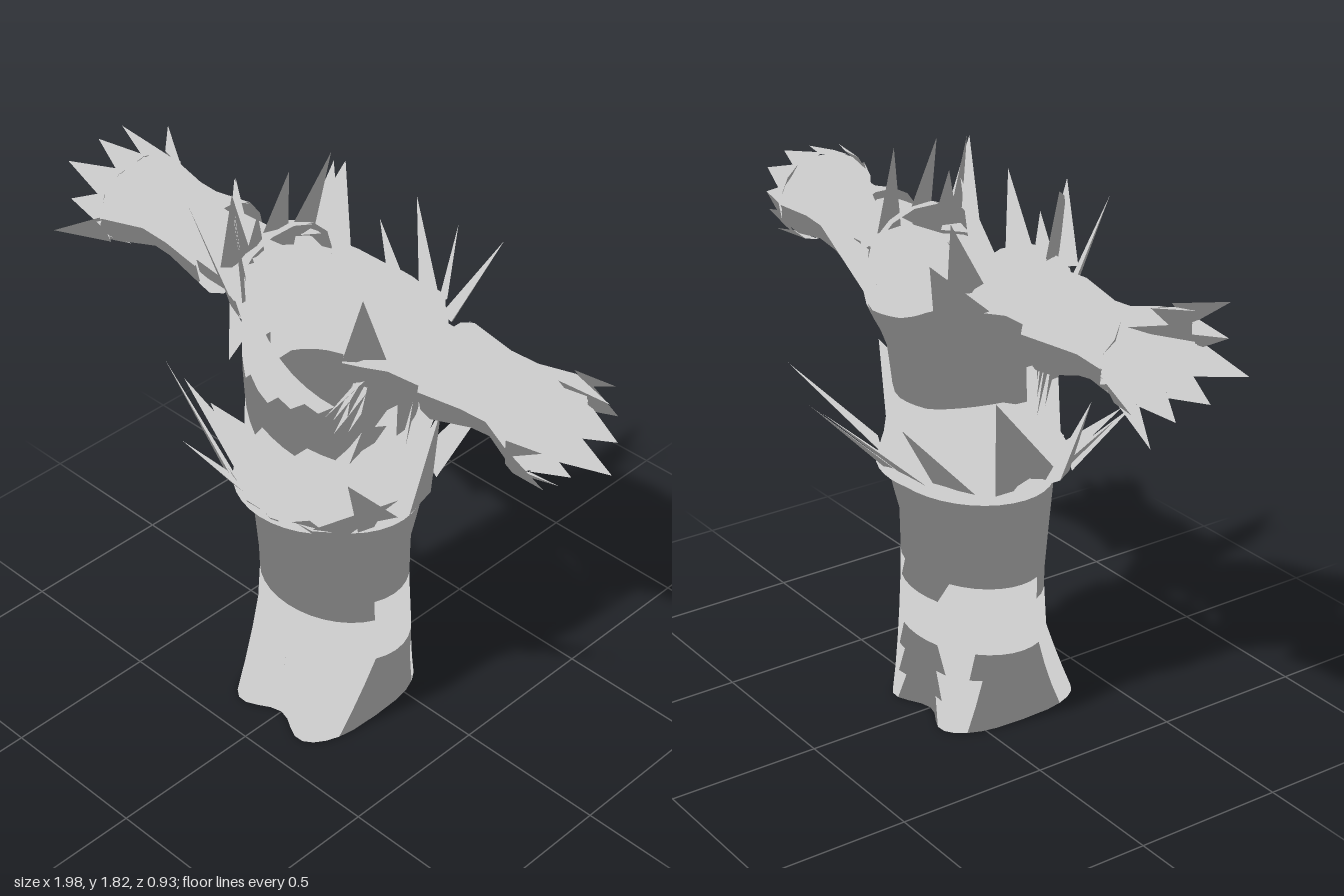
import * as THREE from 'three';

const material = new THREE.MeshStandardMaterial({ color: 0xcccccc, side: THREE.DoubleSide });

// Mesh from flat positions; normals all point up for an even, flat tone.
function mesh(name, pos, index) {
  const g = new THREE.BufferGeometry();
  g.setAttribute('position', new THREE.Float32BufferAttribute(pos, 3));
  g.setAttribute('normal', new THREE.Float32BufferAttribute(pos.map((_, i) => (i % 3 === 1 ? 1 : 0)), 3));
  g.setIndex(index);
  const m = new THREE.Mesh(g, material);
  m.name = name;
  return m;
}

// Thin cloth through rows of points, with an outer layer and a lining facing
// the other way; at(row, column) returns [x, y, z].
function sheet(name, rows, cols, at) {
  const pos = [], index = [];
  for (let r = 0; r <= rows; r++) for (let c = 0; c <= cols; c++) pos.push(...at(r, c));
  for (let r = 0; r < rows; r++) for (let c = 0; c < cols; c++) {
    const a = r * (cols + 1) + c, b = a + cols + 1;
    index.push(a, b, a + 1, a + 1, b, b + 1);
  }
  const g = new THREE.BufferGeometry();
  g.setAttribute('position', new THREE.Float32BufferAttribute(pos, 3));
  g.setIndex(index);
  g.computeVertexNormals();
  const n = g.attributes.normal.array, half = 0.002, count = pos.length / 3;
  const layers = [...pos.map((v, i) => v + half * n[i]), ...pos.map((v, i) => v - half * n[i])];
  return mesh(name, layers, [...index, ...[...index].reverse().map(i => i + count)]);
}

// Piecewise linear lookup in rows of [key, v0, v1, ...].
function lookup(table, key) {
  let i = 1;
  while (i < table.length - 1 && key > table[i][0]) i++;
  const a = table[i - 1], b = table[i];
  const t = THREE.MathUtils.clamp((key - a[0]) / (b[0] - a[0]), 0, 1);
  return a.slice(1).map((v, k) => v + (b[k + 1] - v) * t);
}

// Point on an oval body section: half width, front z, back z.
function oval(table, y, angle) {
  const [rx, zf, zb] = lookup(table, y);
  return [rx * Math.cos(angle), y, (zf + zb) / 2 + (zf - zb) / 2 * Math.sin(angle)];
}

// Thin three-sided fur tuft: base centre, tip, base direction and width.
function tuft(name, base, tip, along, width) {
  const b = new THREE.Vector3(...base), t = new THREE.Vector3(...tip);
  const u = new THREE.Vector3(...along).normalize().multiplyScalar(width / 2);
  const ridge = t.clone().sub(b).cross(u).normalize().multiplyScalar(width * 0.12).add(b);
  const pts = [b.clone().sub(u), b.clone().add(u), ridge, t];
  return mesh(name, pts.flatMap(p => p.toArray()), [0, 1, 3, 1, 2, 3, 2, 0, 3, 0, 2, 1]);
}

const trouserShape = [
  [0, 0.225, 0.39, -0.11], [0.28, 0.27, 0.31, -0.11], [0.46, 0.258, 0.30, -0.105],
  [0.65, 0.262, 0.32, -0.11], [0.8, 0.285, 0.33, -0.15], [0.88, 0.28, 0.33, -0.15]];
const jacketShape = [
  [0.84, 0.297, 0.41, -0.2], [0.9, 0.285, 0.36, -0.17], [1.1, 0.265, 0.35, -0.14],
  [1.25, 0.265, 0.365, -0.165], [1.38, 0.28, 0.36, -0.24], [1.48, 0.305, 0.34, -0.24], [1.78, 0.36, 0.33, -0.25]];
const frontNeck = [[-0.26, 1.52], [-0.24, 1.78], [-0.07, 1.49], [0.07, 1.38], [0.2, 1.27], [0.24, 1.45], [0.26, 1.34]];
const backNeck = [[-0.27, 1.5], [-0.1, 1.4], [0.07, 1.38], [0.14, 1.43], [0.27, 1.48]];

// Neck edge height around the jacket, with an armhole on each side.
function jacketTop(angle) {
  const x = 0.27 * Math.cos(angle), s = Math.sin(angle);
  if (Math.abs(s) < 0.3) return 1.34;
  return lookup(s > 0 ? frontNeck : backNeck, x)[0];
}

function leg(side) {
  const n = 18, wall = 8;
  return sheet('trouserLeg', 3, n + wall, (r, c) => {
    const y = 0.28 * r / 3, low = 1 - r / 3;
    const [rx, zf, zb] = lookup(trouserShape, y);
    // the hem is squarer than the hips and notched at the inner seam
    const edge = a => {
      const s = Math.sin(a);
      const bulge = Math.sign(s) * Math.abs(s) ** (1 - 0.35 * low) * (1 - 0.35 * low * Math.abs(s) ** 8);
      return [rx * Math.cos(a), y, (zf + zb) / 2 + (zf - zb) / 2 * bulge * (1 + 0.23 * low)];
    };
    if (c <= n) {
      const p = edge(-Math.PI / 2 + Math.PI * c / n);
      return [side * p[0], y, p[2]];
    }
    const s = (c - n) / wall;
    const f = edge(Math.PI / 2)[2], b = edge(-Math.PI / 2)[2];
    return [side * (0.03 + 0.05 * low) * Math.sin(Math.PI * s), y, f + (b - f) * s];
  });
}

// Tube along x from sections [x, bottom, top, back, front].
function sleeveTube(name, side, sections) {
  const n = 14;
  return sheet(name, sections.length - 1, n, (r, c) => {
    const [x, lo, hi, zb, zf] = sections[r], a = c / n * Math.PI * 2;
    return [side * x, (lo + hi) / 2 + (hi - lo) / 2 * Math.sin(a), (zb + zf) / 2 + (zf - zb) / 2 * Math.cos(a)];
  });
}

function arm(side) {
  const g = new THREE.Group();
  g.name = side > 0 ? 'leftSleeve' : 'rightSleeve';
  g.add(sleeveTube('upperSleeve', side, [
    [0.22, 1.29, 1.6, -0.12, 0.28], [0.28, 1.31, 1.59, -0.09, 0.26], [0.34, 1.34, 1.55, -0.03, 0.22], [0.47, 1.33, 1.55, -0.02, 0.2]]));
  g.add(sleeveTube('cuff', side, [
    [0.455, 1.28, 1.585, -0.06, 0.22], [0.6, 1.33, 1.555, -0.05, 0.205],
    [0.7, 1.345, 1.56, -0.05, 0.21], [0.83, 1.32, 1.595, -0.07, 0.27]]));

  // ragged fur around the cuff opening; the right one flares wider
  const n = 11, flare = side > 0 ? 1.0 : 1.35;
  for (let i = 0; i < n; i++) {
    const a = (i + 0.4) / n * Math.PI * 2, s = Math.sin(a), c = Math.cos(a);
    const reach = 0.93 + 0.06 * ((i * 5) % 4) / 3;
    const f = flare * (i % 3 === 1 ? 1.15 : 0.9);
    g.add(tuft('cuffTuft', [side * 0.825, 1.457 + 0.135 * s, 0.1 + 0.165 * c],
      [side * reach, 1.457 + 0.14 * f * s, 0.1 + 0.165 * f * c], [0, c, -s], 0.11));
  }
  return g;
}

// [base, tip, base direction, width] on the +x side.
const hemTufts = [
  [[0.15, 0.86, 0.36], [0.27, 1.01, 0.465], [1, 0, -0.4], 0.1],
  [[0.19, 0.83, 0.33], [0.49, 1.13, 0.33], [1, 0, -0.6], 0.12],
  [[0.24, 0.85, 0.26], [0.44, 1.07, 0.3], [0.4, 0, -1], 0.1],
  [[0.29, 0.85, 0.2], [0.29, 1.07, 0.33], [0.3, 0, -1], 0.14],
  [[0.29, 0.85, 0.1], [0.31, 1.16, -0.04], [0, 0, 1], 0.25],
  [[0.2, 0.86, -0.11], [0.31, 1.16, -0.37], [1, 0, 0.5], 0.14],
  [[0.07, 0.86, -0.17], [0.04, 1.14, -0.465], [1, 0, 0.1], 0.12],
  [[0.17, 0.86, 0.35], [0.15, 0.79, 0.34], [1, 0, -0.4], 0.12],
  [[0.04, 0.86, 0.4], [0.03, 0.77, 0.36], [1, 0, 0], 0.06]];
const shoulderTufts = [
  [[0.26, 1.53, -0.03], [0.17, 1.82, -0.07], [0.2, 0, 1], 0.1],
  [[0.26, 1.56, 0.08], [0.18, 1.82, 0.09], [0.2, 0, 1], 0.1],
  [[0.25, 1.54, 0.17], [0.23, 1.69, 0.17], [0, 0, 1], 0.08],
  [[0.27, 1.52, 0.22], [0.25, 1.78, 0.25], [0.6, 0, 1], 0.1],
  [[0.28, 1.46, 0.25], [0.35, 1.74, 0.33], [1, 0, -0.8], 0.13],
  [[0.25, 1.5, -0.1], [0.25, 1.72, -0.16], [0.5, 0, 1], 0.12],
  [[0.25, 1.42, -0.12], [0.32, 1.64, -0.28], [1, 0.6, 0.8], 0.18],
  [[0.25, 1.36, 0.24], [0.2, 1.27, 0.33], [0.6, 0.8, 0], 0.12]];

export function createModel() {
  const model = new THREE.Group();
  model.name = 'furTrimmedOutfit';

  // Trousers: hips and two legs
  model.add(sheet('trouserBody', 8, 36, (r, c) =>
    oval(trouserShape, 0.28 + 0.6 * r / 8, c / 36 * Math.PI * 2)));

  // Jacket with diagonal neckline and a peaked collar on the right
  const cols = 40, rows = 9;
  model.add(sheet('jacket', rows, cols, (r, c) => {
    const a = c / cols * Math.PI * 2;
    return oval(jacketShape, 0.84 + (jacketTop(a) - 0.84) * r / rows, a);
  }));

  // Paired legs, sleeves and fur tufts
  for (const side of [1, -1]) {
    model.add(leg(side), arm(side));
    const flip = p => [side * p[0], p[1], p[2]];
    for (const [name, list] of [['hemTuft', hemTufts], ['shoulderTuft', shoulderTufts]])
      for (const [base, tip, along, width] of list)
        model.add(tuft(name, flip(base), flip(tip), flip(along), width));
  }
  return model;
}
